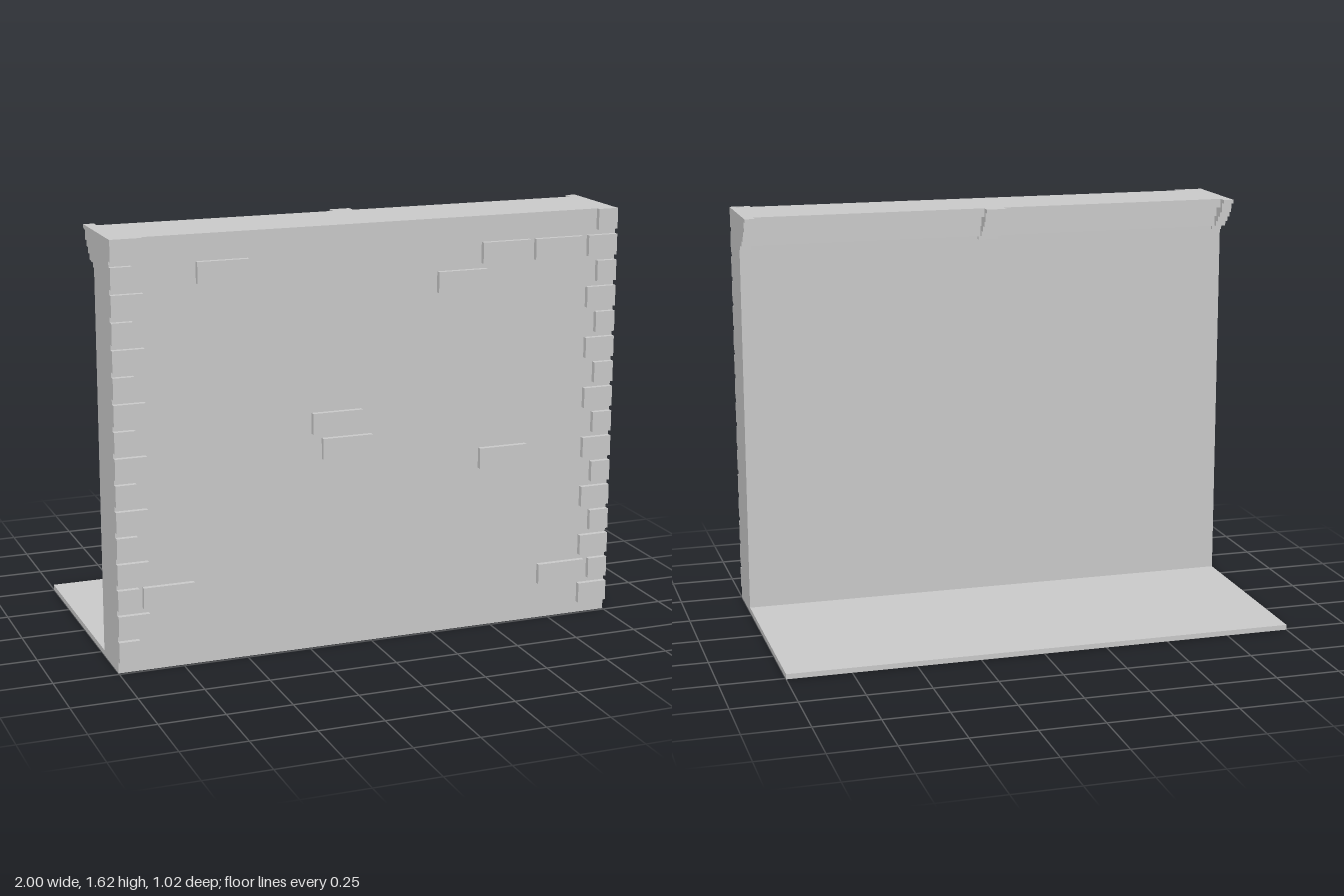
import * as THREE from 'three';

const material = new THREE.MeshStandardMaterial({ color: 0xcccccc, flatShading: true });

// Extrude a [z, y] profile along x, from x0 to x1
function sweep(name, profile, x0, x1) {
  const shape = new THREE.Shape(profile.map(([z, y]) => new THREE.Vector2(-z, y)));
  const geometry = new THREE.ExtrudeGeometry(shape, { depth: x1 - x0, bevelEnabled: false });
  geometry.rotateY(Math.PI / 2).translate(x0, 0, 0);
  const mesh = new THREE.Mesh(geometry, material);
  mesh.name = name;
  return mesh;
}

// Turn [z, y] steps (underside height of each step) into a stair outline
function stairs(start, steps) {
  const points = [];
  let z = start;
  for (const [nextZ, y] of steps) {
    points.push([z, y], [nextZ, y]);
    z = nextZ;
  }
  points.push([z, 1.62]);
  return points;
}

export function createModel() {
  const model = new THREE.Group();
  model.name = 'wallWithFloor';

  // Floor slab, wall and stepped cornice share one section
  const cornice = stairs(0.29, [[0.25, 1.5], [0.23, 1.545], [0.19, 1.585]]);
  model.add(sweep('wallAndFloor', [
    [0.49, 0], [-0.51, 0], [-0.51, 0.02], [0.29, 0.02], ...cornice, [0.49, 1.62],
  ], -1, 1));

  // Stepped brackets at both ends and in the middle of the cornice
  const bracket = [
    ...stairs(0.29, [[0.275, 1.483], [0.232, 1.503], [0.211, 1.524],
      [0.19, 1.546], [0.171, 1.567], [0.15, 1.605]]),
    [0.29, 1.62],
  ];
  for (const [x0, x1] of [[-1, -0.96], [-0.04, 0.04], [0.96, 1]]) {
    model.add(sweep('corniceBracket', bracket, x0, x1));
  }

  // Raised bricks on the front, placed by course
  const brickHeight = 0.08, course = 0.0997;
  function addBrick(name, x0, x1, row) {
    const brick = new THREE.Mesh(new THREE.BoxGeometry(x1 - x0, brickHeight, 0.02), material);
    brick.position.set((x0 + x1) / 2, 0.045 + row * course + brickHeight / 2, 0.5);
    brick.name = name;
    model.add(brick);
  }

  // Corner bricks alternate short and long
  for (let row = 0; row < 16; row++) {
    const odd = row % 2 === 1;
    addBrick('rightCornerBrick', -1, odd ? -0.88 : -0.92, row);
    addBrick('leftCornerBrick', odd ? 0.92 : 0.88, 1, row);
  }

  // Scattered bricks: [left edge x, course]
  const scattered = [[-0.68, 14], [0.44, 14], [0.658, 14], [0.26, 13], [-0.24, 8],
    [-0.2, 7], [0.44, 6], [-0.903, 2], [0.702, 1]];
  for (const [x, row] of scattered) addBrick('looseBrick', x, x + 0.197, row);

  return model;
}
